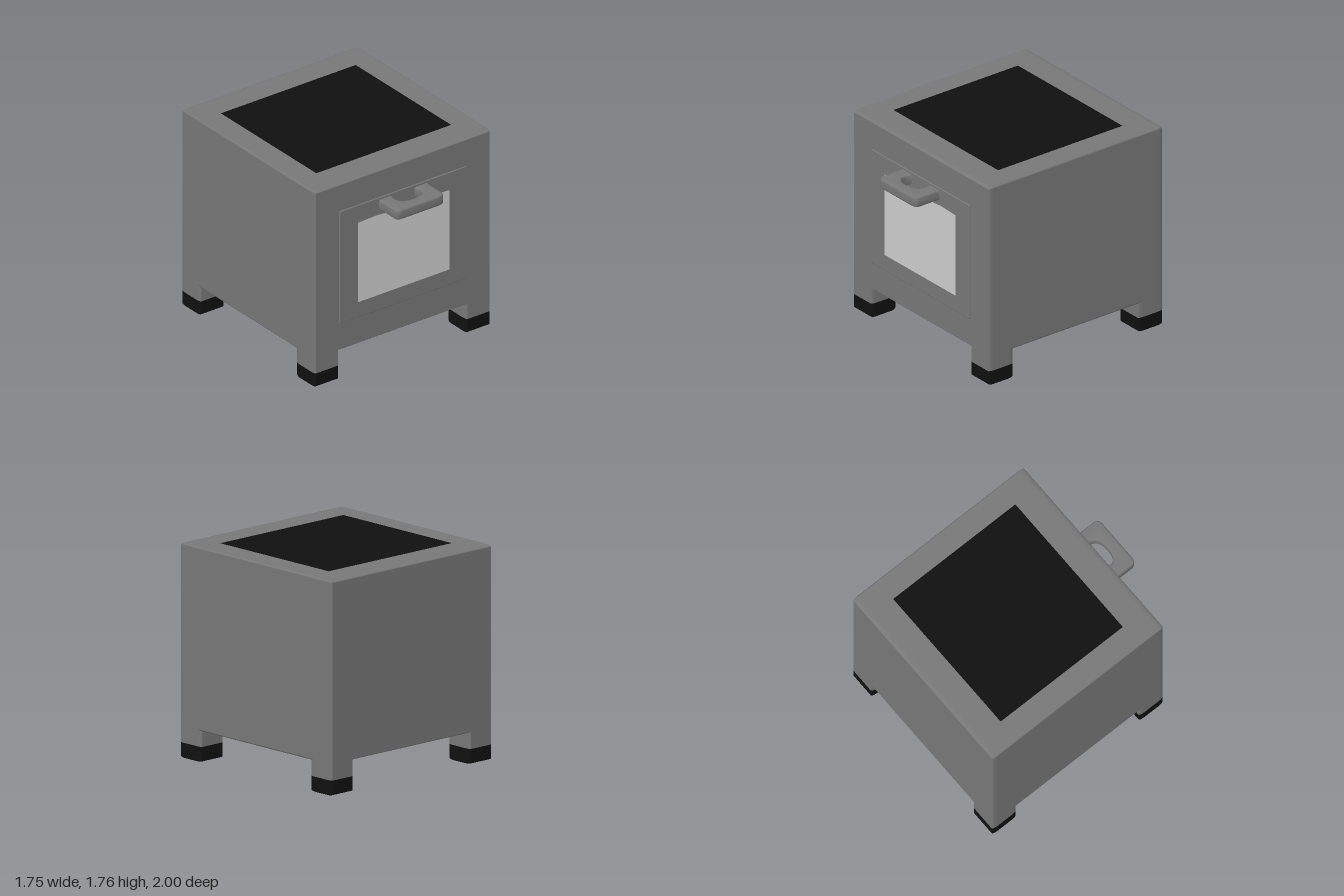
import * as THREE from 'three';
import { toCreasedNormals } from 'three/addons/utils/BufferGeometryUtils.js';
import { RoundedBoxGeometry } from 'three/addons/geometries/RoundedBoxGeometry.js';

const bodyMat = new THREE.MeshStandardMaterial({ color: 0x777777 });
const blackMat = new THREE.MeshStandardMaterial({ color: 0x101010 });
const windowMat = new THREE.MeshStandardMaterial({ color: 0xcccccc });

// Rounded box given by its limits; the edge rounding is longer along z.
function roundedBox(x0, x1, y0, y1, z0, z1, r = 0.016, stretch = 3) {
  const g = new RoundedBoxGeometry(x1 - x0, y1 - y0, (z1 - z0) / stretch, 4, r);
  g.scale(1, 1, stretch);
  return g.translate((x0 + x1) / 2, (y0 + y1) / 2, (z0 + z1) / 2);
}

// Flatten everything outside a height range onto its limits.
function clampY(g, low, high) {
  const p = g.attributes.position;
  for (let i = 0; i < p.count; i++) p.setY(i, Math.min(high, Math.max(low, p.getY(i))));
  return g;
}

export function createModel() {
  const model = new THREE.Group();
  model.name = 'oven';
  const add = (name, geometry, material) => {
    const mesh = new THREE.Mesh(geometry, material);
    mesh.name = name;
    model.add(mesh);
    return mesh;
  };

  // Cabinet
  add('cabinet', roundedBox(-0.875, 0.875, 0.255, 1.757, -1, 0.755), bodyMat);

  // Four corner legs with black feet
  for (const [side, x0, x1] of [['left', 0.63, 0.875], ['right', -0.875, -0.63]]) {
    for (const [end, z0, z1] of [['Front', 0.508, 0.755], ['Back', -1, -0.753]]) {
      const column = () => roundedBox(x0, x1, 0, 0.4, z0, z1);
      add(side + end + 'Leg', clampY(column(), 0.127, 0.4), bodyMat);
      add(side + end + 'Foot', clampY(column(), 0, 0.127), blackMat);
    }
  }

  // Cooktop
  const cooktop = new THREE.PlaneGeometry(1.34, 1.255).rotateX(-Math.PI / 2);
  add('cooktop', cooktop.translate(0, 1.76, -0.1225), blackMat);

  // Door
  add('door', roundedBox(-0.632, 0.632, 0.498, 1.512, 0.71, 0.763, 0.008, 1), bodyMat);

  // Window, its top edge slightly wavy beneath the handle
  const pane = new THREE.Shape();
  pane.moveTo(-0.455, 0.64);
  pane.lineTo(0.455, 0.64);
  for (const [x, y] of [[0.455, 1.355], [0.26, 1.363], [0.18, 1.355], [0.1, 1.37],
    [-0.1, 1.37], [-0.18, 1.355], [-0.26, 1.363], [-0.455, 1.355]]) pane.lineTo(x, y);
  add('window', new THREE.ShapeGeometry(pane).translate(0, 0, 0.766), windowMat);

  // Handle: a U-shaped grip, flared where it meets the door
  const u = new THREE.Shape();
  u.moveTo(-0.25, 0.74);
  u.quadraticCurveTo(-0.24, 0.77, -0.24, 0.8);
  u.lineTo(-0.24, 0.95);
  u.quadraticCurveTo(-0.24, 1, -0.18, 1);
  u.lineTo(0.18, 1);
  u.quadraticCurveTo(0.24, 1, 0.24, 0.95);
  u.lineTo(0.24, 0.8);
  u.quadraticCurveTo(0.24, 0.77, 0.25, 0.74);
  u.lineTo(0.09, 0.74);
  u.quadraticCurveTo(0.125, 0.775, 0.125, 0.82);
  u.quadraticCurveTo(0.12, 0.9, 0, 0.9);
  u.quadraticCurveTo(-0.12, 0.9, -0.125, 0.82);
  u.quadraticCurveTo(-0.125, 0.775, -0.09, 0.74);
  u.closePath();
  const grip = new THREE.ExtrudeGeometry(u, {
    depth: 0.05, bevelThickness: 0.02, bevelSize: 0.015, bevelOffset: -0.015,
    bevelSegments: 4, curveSegments: 8,
  });
  grip.rotateX(Math.PI / 2).translate(0, 1.47, 0);
  add('handle', toCreasedNormals(grip, 0.7), bodyMat);

  return model;
}
